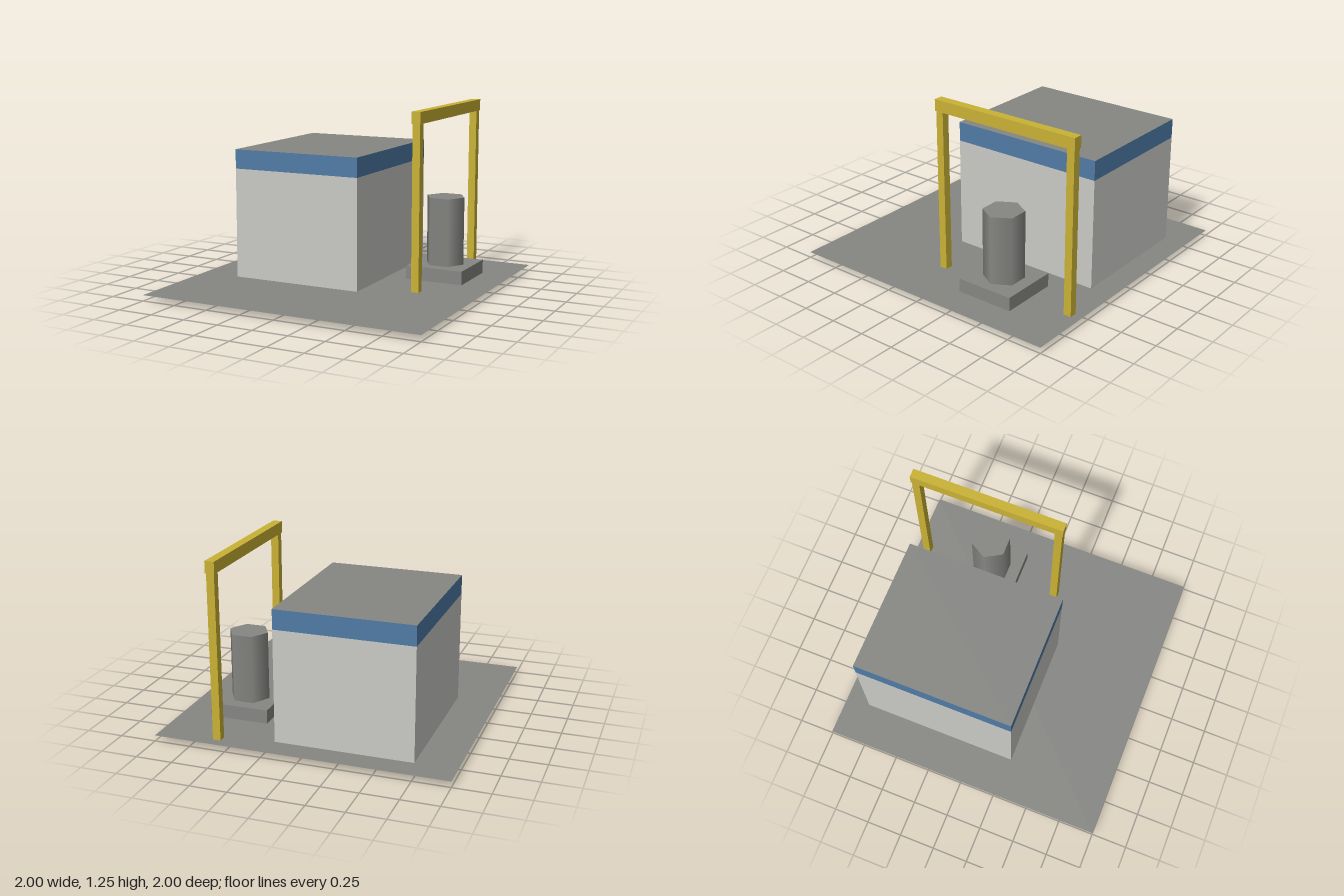
import * as THREE from 'three';

const mat = (name, color, side = THREE.FrontSide) => {
  const m = new THREE.MeshStandardMaterial({ color, side });
  m.name = name;
  return m;
};

export function createModel() {
  const model = new THREE.Group();
  model.name = 'pumpStation';

  const concrete = mat('concreteGrey', 0x868783, THREE.DoubleSide);
  const plaster = mat('plasterWhite', 0xc9cac5, THREE.DoubleSide);
  const blue = mat('trimBlue', 0x4f7ba5, THREE.DoubleSide);
  const yellow = mat('craneYellow', 0xc9b234);

  const add = (name, geometry, material, parent = model) => {
    const mesh = new THREE.Mesh(geometry, material);
    mesh.name = name;
    parent.add(mesh);
    return mesh;
  };

  // Box given by its lower and upper corners
  const box = ([x0, y0, z0], [x1, y1, z1]) =>
    new THREE.BoxGeometry(x1 - x0, y1 - y0, z1 - z0)
      .translate((x0 + x1) / 2, (y0 + y1) / 2, (z0 + z1) / 2);

  // Four walls only: the top and bottom faces of the box are dropped
  const walls = (lo, hi) => {
    const g = box(lo, hi);
    g.setIndex(Array.from(g.index.array).filter((_, i) => i < 12 || i >= 24));
    g.clearGroups();
    return g;
  };

  // Ground slab, a thin sheet
  const groundY = 0.04;
  add('ground', new THREE.PlaneGeometry(2, 2).rotateX(-Math.PI / 2), concrete).position.y = groundY;

  // Building: open-bottomed walls, blue band and flat roof
  const building = new THREE.Group();
  building.name = 'building';
  model.add(building);
  const [x0, x1, z0, z1] = [-0.72, 0.22, -0.832, 0.278];
  const bandY = 0.81, roofY = 0.945;
  add('buildingWalls', walls([x0, 0, z0], [x1, bandY, z1]), plaster, building);
  add('roofBand', walls([x0, bandY, z0], [x1, roofY, z1]), blue, building);
  add('roof', new THREE.PlaneGeometry(x1 - x0, z1 - z0).rotateX(-Math.PI / 2), concrete, building)
    .position.set((x0 + x1) / 2, roofY, (z0 + z1) / 2);

  // Pump: square plinth with a smooth six-sided drum
  const px = 0.58, pz = -0.39, baseY = 0.045, plinthTop = 0.14, drumTop = 0.615;
  const pump = new THREE.Group();
  pump.name = 'pump';
  model.add(pump);
  add('plinth', box([px - 0.206, baseY, pz - 0.206], [px + 0.206, plinthTop, pz + 0.206]), concrete, pump);
  add('drum', new THREE.CylinderGeometry(0.138, 0.138, drumTop - plinthTop, 6).rotateY(Math.PI / 2), concrete, pump)
    .position.set(px, (plinthTop + drumTop) / 2, pz);

  // Gantry: two posts under a beam
  const gantry = new THREE.Group();
  gantry.name = 'gantry';
  model.add(gantry);
  const beamY = 1.17, half = 0.027;
  for (const [name, z] of [['frontPost', 0.111], ['backPost', -0.915]]) {
    add(name, box([px - half, baseY, z - half], [px + half, beamY, z + half]), yellow, gantry);
  }
  add('beam', box([px - 0.032, beamY, -0.948], [px + 0.032, 1.25, 0.144]), yellow, gantry);

  return model;
}
